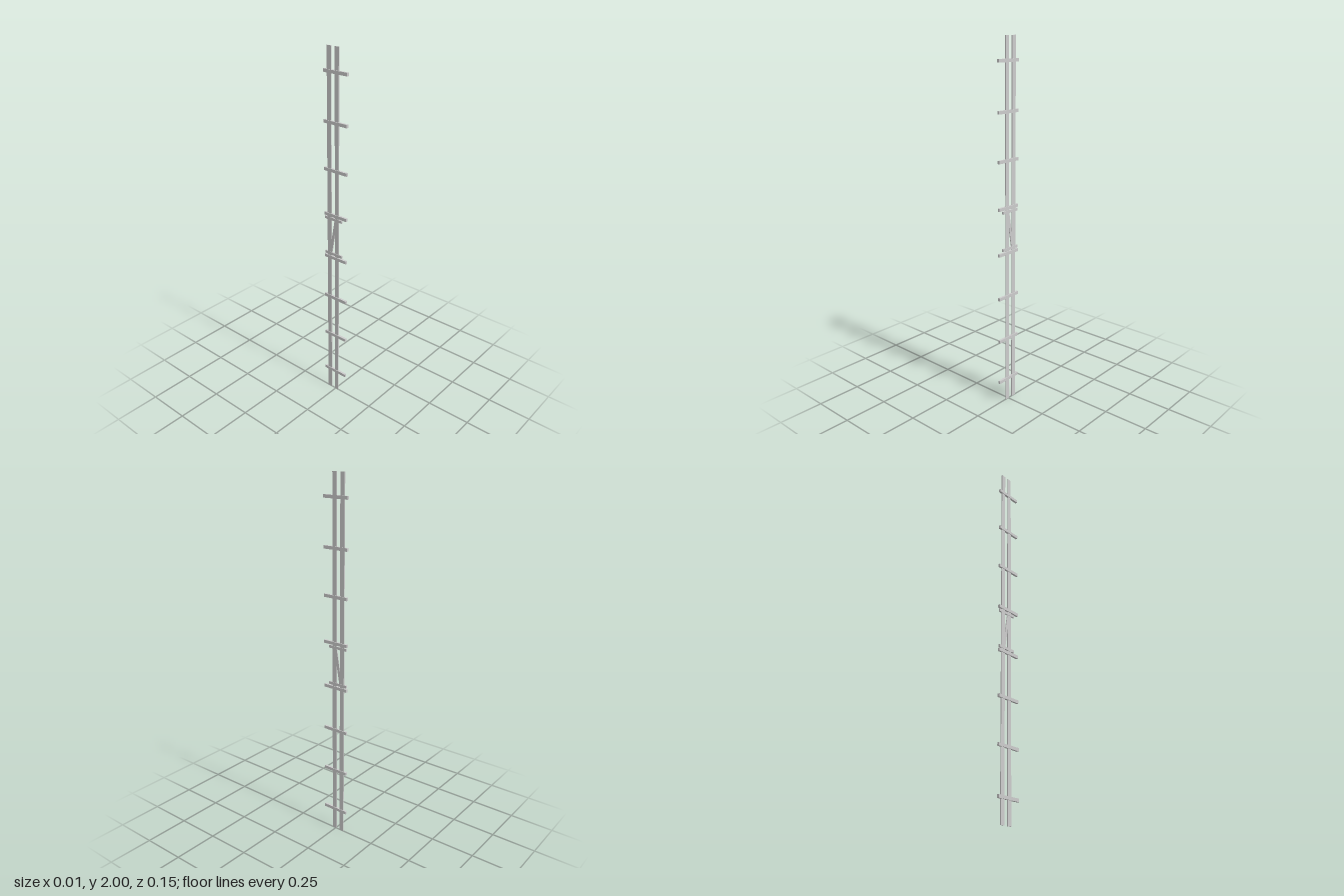
import * as THREE from 'three';

export function createModel() {
  const model = new THREE.Group();
  const material = new THREE.MeshStandardMaterial({ color: 0xcccccc, flatShading: true });

  // Box centred on x = 0, spanning z0..z1
  function bar(name, width, height, y, z0, z1) {
    const mesh = new THREE.Mesh(new THREE.BoxGeometry(width, height, z1 - z0), material);
    mesh.name = name;
    mesh.position.set(0, y, (z0 + z1) / 2);
    model.add(mesh);
    return mesh;
  }

  // Two long rails
  bar('frontRail', 0.005, 2, 1, -0.005, 0.02);
  bar('backRail', 0.005, 2, 1, -0.055, -0.029);

  // Evenly spaced rungs
  for (let i = 0; i < 8; i++) {
    bar('rung' + (i + 1), 0.012, 0.017, 0.13 + i * 0.25, -0.074, 0.074);
  }

  // Shorter braces with a diagonal strut between them
  bar('lowerBrace', 0.008, 0.015, 0.902, -0.071, 0.043);
  bar('upperBrace', 0.008, 0.015, 1.108, -0.071, 0.043);
  const strut = bar('diagonalStrut', 0.005, 0.212, 1.005, -0.024, -0.008);
  strut.rotation.x = Math.atan2(0.036, 0.205);

  return model;
}
